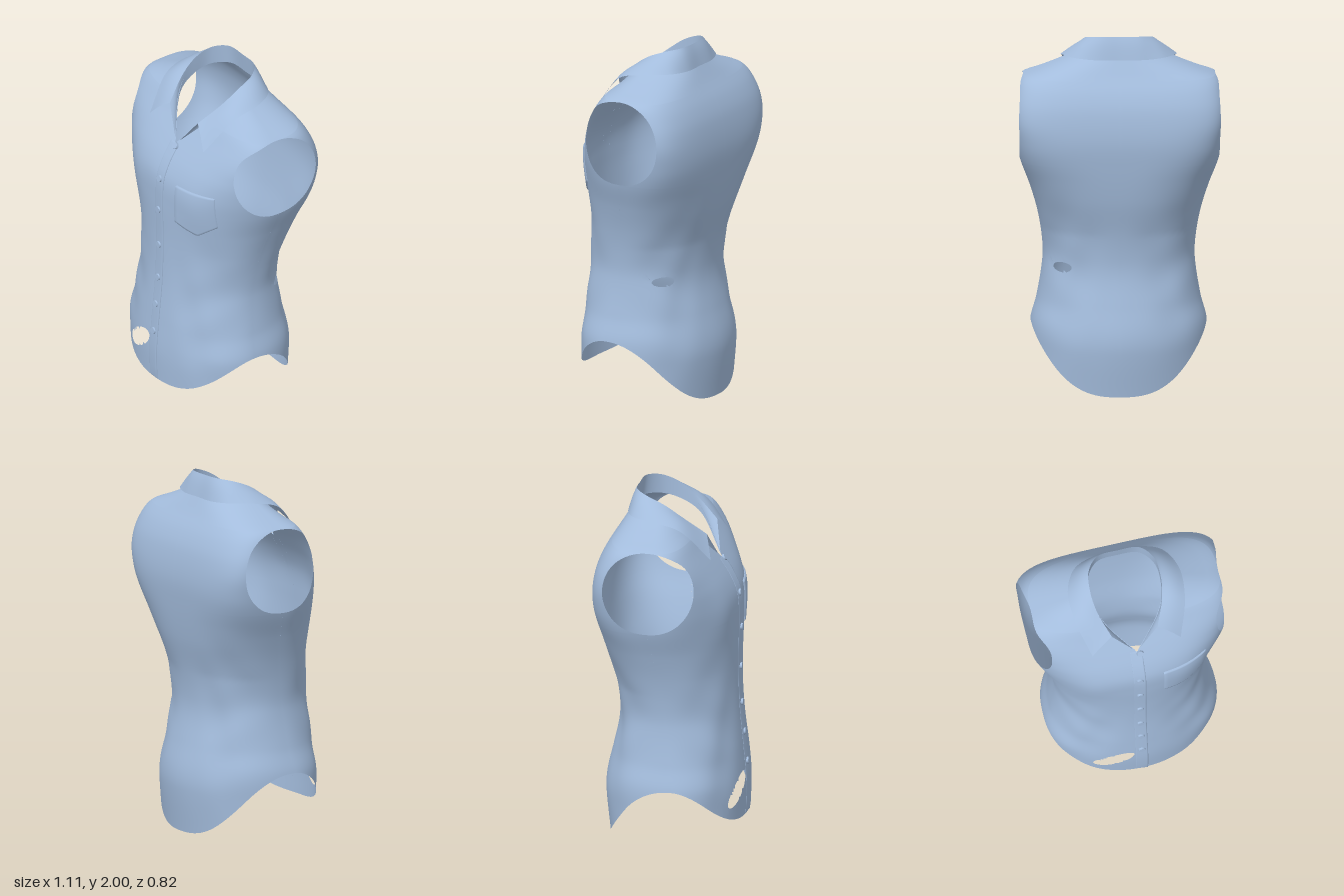
import * as THREE from 'three';
import { mergeGeometries, mergeVertices } from 'three/addons/utils/BufferGeometryUtils.js';

const ARM_LOW = 1.3, ARM_TOP = 1.77, NECK = 1.895, SEAM_Z = -0.05;

// Smooth lookup through a few [y, value] pairs
function profile(pts) {
  const slope = (i) => {
    const a = pts[Math.max(0, i - 1)], b = pts[Math.min(pts.length - 1, i + 1)];
    return (b[1] - a[1]) / (b[0] - a[0]);
  };
  return (y) => {
    if (y <= pts[0][0]) return pts[0][1];
    let i = 0;
    while (i < pts.length - 2 && y > pts[i + 1][0]) i++;
    const h = pts[i + 1][0] - pts[i][0], t = Math.min(1, (y - pts[i][0]) / h);
    const t2 = t * t, t3 = t2 * t;
    return (2 * t3 - 3 * t2 + 1) * pts[i][1] + (t3 - 2 * t2 + t) * h * slope(i)
      + (3 * t2 - 2 * t3) * pts[i + 1][1] + (t3 - t2) * h * slope(i + 1);
  };
}

const halfWidth = profile([[0.2, 0.49], [0.36, 0.487], [0.5, 0.452], [0.72, 0.42], [0.85, 0.426], [1, 0.452], [1.15, 0.495], [1.3, 0.548],
  [1.42, 0.572], [1.6, 0.585], [1.72, 0.565], [1.77, 0.53], [1.8, 0.455], [1.83, 0.38], [1.86, 0.31], [1.9, 0.23]]);
const seamZ = profile([[0.36, 0.07], [0.75, 0.03], [1, 0], [1.3, SEAM_Z], [1.9, SEAM_Z]]);
const neckHalf = profile([[1.6, 0], [1.7, 0.085], [1.8, 0.155], [1.88, 0.2], [1.9, 0.2]]);

// Depth at the centre, two exponents that make a section rounder or boxier, hem and tear
const front = {
  side: 1,
  depth: profile([[0.1, 0.395], [0.3, 0.4], [0.5, 0.385], [0.75, 0.362], [1, 0.355], [1.25, 0.358], [1.4, 0.35],
    [1.5, 0.312], [1.6, 0.25], [1.7, 0.18], [1.77, 0.135], [1.9, 0.04]]),
  n: profile([[1, 2], [1.4, 2], [1.535, 2.6], [1.6, 3], [1.7, 3.8], [1.77, 3.4], [1.8, 2.7], [1.9, 2]]),
  k: profile([[1, 0.48], [1.3, 0.44], [1.4, 0.41], [1.535, 0.36], [1.6, 0.3], [1.7, 0.26], [1.77, 0.3], [1.8, 0.39], [1.9, 0.48]]),
  hem: (s) => 0.12 + 0.245 * s ** 3,
  tear: { sx: -1, x: -0.16, y: 0.3, angle: 0.6, long: 0.135, short: 0.052 },
};
const back = {
  side: -1,
  depth: profile([[0, -0.36], [0.25, -0.386], [0.35, -0.38], [0.5, -0.345], [0.65, -0.313], [0.75, -0.308], [0.9, -0.325],
    [1.1, -0.37], [1.3, -0.4], [1.45, -0.41], [1.6, -0.39], [1.7, -0.352], [1.8, -0.29], [1.9, -0.23]]),
  n: profile([[0.9, 2], [1.2, 2.8], [1.4, 4], [1.7, 4], [1.8, 3.2], [1.9, 2.2]]),
  k: profile([[0.9, 0.42], [1.2, 0.34], [1.4, 0.25], [1.535, 0.2], [1.7, 0.25], [1.8, 0.32], [1.9, 0.45]]),
  hem: (s) => 0.365 * s ** 2.8,
  tear: { sx: 1, x: 0.315, y: 0.705, angle: 0, long: 0.05, short: 0.028 },
};

// Fraction of the half width at which a panel ends: 1, or less along the armhole
function edge(y, p) {
  if (y <= ARM_LOW || y >= ARM_TOP) return 1;
  const z = SEAM_Z + p.side * 0.25 * Math.pow(Math.max(0, 1 - ((y - 1.535) / 0.235) ** 2), 0.44);
  const g = Math.min(1, Math.max(0, (z - seamZ(y)) / (p.depth(y) - seamZ(y))));
  return Math.pow(1 - Math.pow(g, 1 / p.k(y)), 1 / p.n(y));
}

// Soft cloth folds at the waist, fading at the seams and the centre
function folds(x, y, g) {
  const fade = Math.exp(-(((y - 0.65) / 0.38) ** 2)) * g * (1 - g) * 4;
  return 0.007 * fade * Math.sin(26 * Math.abs(x) + 9 * y) + 0.004 * fade * Math.sin(21 * y - 14 * Math.abs(x));
}

// Slight fullness on both sides of the chest
const chest = (x, y) => 0.014 * Math.exp(-(((Math.abs(x) - 0.27) / 0.12) ** 2) - ((y - 1.3) / 0.16) ** 2);

function surfaceZ(x, y, p) {
  const s = Math.min(1, Math.abs(x) / halfWidth(y));
  const g = Math.pow(Math.max(0, 1 - Math.pow(s, p.n(y))), p.k(y));
  const full = p === front ? chest(x, y) : 0;
  return seamZ(y) + (p.depth(y) - seamZ(y)) * g + p.side * folds(x, y, g) + full;
}

// Grid of points as a surface; skip(x, y) at a triangle's middle leaves a hole
function grid(rows, cols, fn, flip = false, skip = null) {
  const pos = [], index = [];
  const tri = (a, b, c) => {
    const mid = (i) => (pos[a * 3 + i] + pos[b * 3 + i] + pos[c * 3 + i]) / 3;
    if (skip && skip(mid(0), mid(1))) return;
    if (flip) index.push(a, c, b);
    else index.push(a, b, c);
  };
  for (let r = 0; r <= rows; r++) for (let c = 0; c <= cols; c++) pos.push(...fn(c / cols, r / rows, r, c));
  for (let r = 0; r < rows; r++) for (let c = 0; c < cols; c++) {
    const a = r * (cols + 1) + c, d = a + cols + 1;
    tri(a, a + 1, d + 1);
    tri(a, d + 1, d);
  }
  const geo = new THREE.BufferGeometry();
  geo.setAttribute('position', new THREE.Float32BufferAttribute(pos, 3));
  geo.setIndex(index);
  return geo;
}

// Below 1 is inside the torn opening
function tearDistance(x, y, t) {
  const dx = x - t.x, dy = y - t.y, c = Math.cos(t.angle), s = Math.sin(t.angle);
  return Math.hypot((dx * c + dy * s) / t.long, (dy * c - dx * s) / t.short);
}

// One half of the front or back
function panel(p, sx) {
  const LOW = 64, ARM = 28, ROOF = 10;
  const tear = p.tear.sx === sx ? p.tear : null;
  return grid(LOW + ARM + ROOF, 48, (t, v, r) => {
    let y;
    if (r <= LOW) {
      y = p.hem(Math.sin(t * Math.PI / 2));
      y += (ARM_LOW - y) * r / LOW;
    } else if (r <= LOW + ARM) y = 1.535 - 0.235 * Math.cos((r - LOW) / ARM * Math.PI);
    else y = ARM_TOP + (NECK - ARM_TOP) * (r - LOW - ARM) / ROOF;
    const inner = p === front && y > 1.6 ? Math.asin(Math.min(1, neckHalf(y) / halfWidth(y))) : 0;
    const theta = inner + (Math.asin(edge(y, p)) - inner) * t;
    let x = sx * halfWidth(y) * Math.sin(theta);
    const d = tear ? tearDistance(x, y, tear) : 0;
    if (tear && Math.abs(d - 1) < 0.011 / tear.short) { // pull nearby points onto the rim of the tear
      x = tear.x + (x - tear.x) / d;
      y = tear.y + (y - tear.y) / d;
    }
    return [x, y, surfaceZ(x, y, p)];
  }, p.side * sx < 0, tear && ((x, y) => tearDistance(x, y, tear) < 0.97));
}

// Raised cloth patch lying on the front, its rim turned down to the body
function patch(x0, x1, low, high, lift) {
  const N = 20, M = 40;
  const step = (i, n) => i === 0 ? 0 : i === n ? 1 : i === 1 ? 0.006 : i === n - 1 ? 0.994 : i / n;
  return grid(M, N, (u, v, r, c) => {
    const x = x0 + (x1 - x0) * step(c, N), lo = low(x);
    const y = lo + (high(x) - lo) * step(r, M);
    const rim = r === 0 || r === M || c === 0 || c === N;
    return [x, y, surfaceZ(x, y, front) + (rim ? 0 : lift(u))];
  });
}

// Mirrors half a rail of collar points to a full curve
function rail(half) {
  const pts = half.map((p) => new THREE.Vector3(...p));
  const other = pts.slice(1).reverse().map((p) => new THREE.Vector3(-p.x, p.y, p.z));
  return new THREE.CatmullRomCurve3([...other, ...pts]);
}

function strip(a, b, bulge) {
  return grid(8, 80, (u, v) => {
    const p = a.getPoint(u).lerp(b.getPoint(u), v);
    return [p.x, p.y + bulge * Math.sin(Math.PI * v), p.z];
  });
}

export function createModel() {
  const cloth = new THREE.MeshStandardMaterial({ color: 0xa3bcdc, side: THREE.DoubleSide });
  cloth.name = 'light blue cloth';
  const shirt = new THREE.Group();
  shirt.name = 'sleevelessShirt';
  const add = (geo, name) => {
    if (!geo.attributes.normal) geo.computeVertexNormals();
    const mesh = new THREE.Mesh(geo, cloth);
    mesh.name = name;
    shirt.add(mesh);
    return mesh;
  };

  // Body, joined at centre, side and shoulder seams
  const halves = [];
  for (const p of [front, back]) for (const sx of [1, -1]) halves.push(panel(p, sx));
  add(mergeVertices(mergeGeometries(halves), 1e-4), 'body');

  // Collar: inner stand and folded-down leaf
  const base = rail([[0, 1.885, -0.225], [0.12, 1.885, -0.212], [0.19, 1.875, -0.13], [0.2, 1.85, -0.03], [0.17, 1.79, 0.09], [0.015, 1.61, 0.24]]);
  const fold = rail([[0, 2, -0.21], [0.12, 2, -0.2], [0.185, 1.985, -0.13], [0.2, 1.945, -0.03], [0.185, 1.875, 0.07], [0.13, 1.77, 0.195]]);
  const outer = rail([[0, 1.878, -0.25], [0.14, 1.878, -0.247], [0.25, 1.882, -0.2], [0.315, 1.878, -0.08], [0.312, 1.838, 0.08], [0.25, 1.66, 0.245]]);
  add(strip(base, fold, 0), 'collarStand');
  add(strip(outer, fold, 0.012), 'collarLeaf');

  // Button placket, lifting toward its open edge, and chest pocket
  add(patch(-0.04, 0.028, () => 0.121, () => 1.6, (u) => 0.0015 + 0.0065 * u), 'placket');
  const pocketLow = (x) => x < 0.28 ? 1.19 - (x - 0.13) * 0.27 : 1.15 + (x - 0.28) * 0.8;
  add(patch(0.13, 0.385, pocketLow, (x) => 1.42 + (x - 0.13) * 0.04, () => 0.009), 'chestPocket');

  // Buttons down the front, tilted to the cloth
  for (const y of [1.59, 1.4, 1.2, 0.97, 0.76, 0.59, 0.42]) {
    const x = y > 1.5 ? 0.015 : -0.006;
    const button = add(new THREE.CylinderGeometry(0.018, 0.02, 0.012, 16), 'button');
    const slope = (front.depth(y + 0.01) - front.depth(y - 0.01)) / 0.02;
    button.position.set(x, y, surfaceZ(x, y, front) + 0.008);
    button.rotation.x = Math.PI / 2 + Math.atan(slope);
  }
  return shirt;
}
